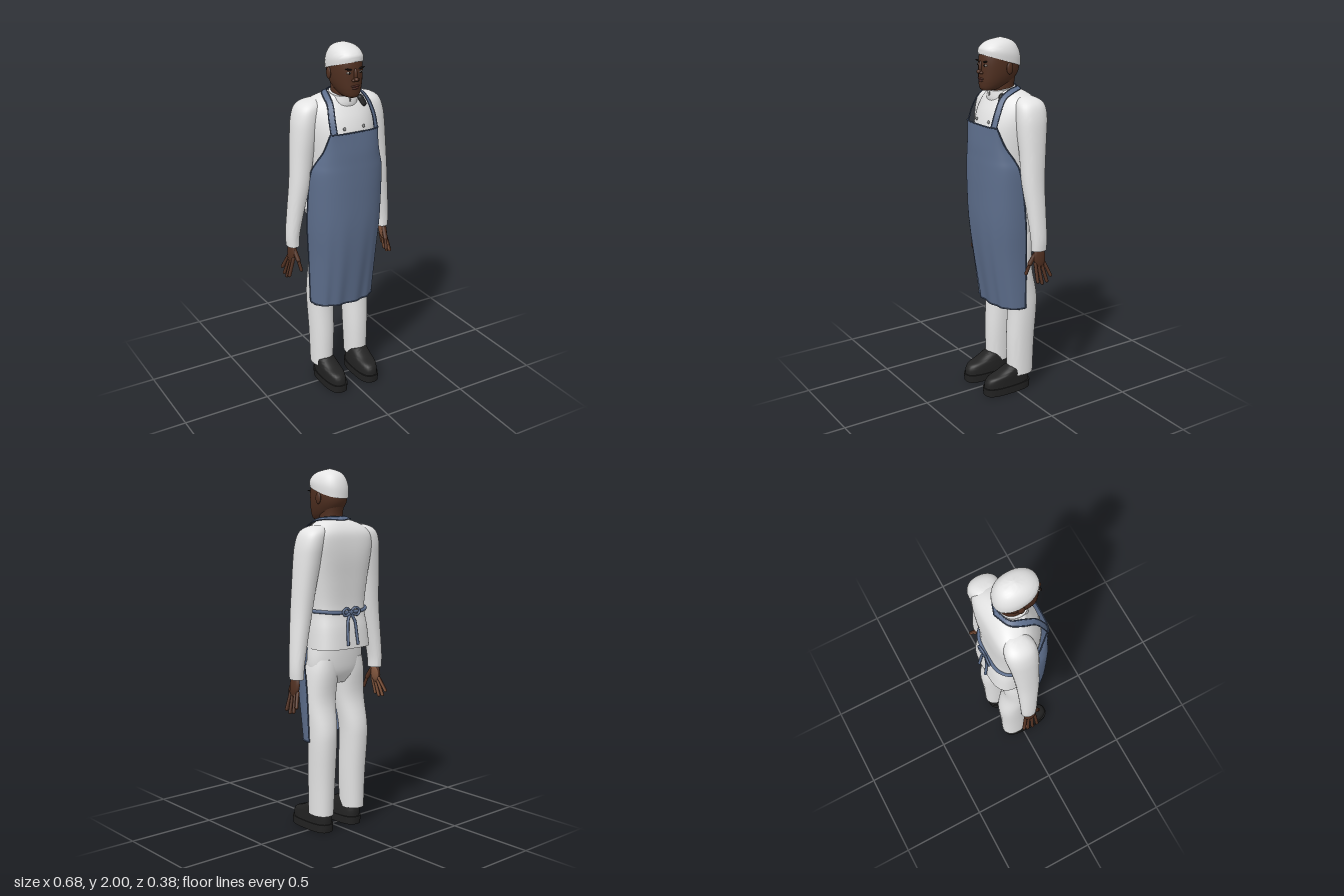
import * as THREE from 'three';
import { toCreasedNormals } from 'three/addons/utils/BufferGeometryUtils.js';

const mat = (name, color, side = THREE.FrontSide) => {
  const m = new THREE.MeshStandardMaterial({ color, side });
  m.name = name;
  return m;
};

// Catmull-Rom through rows of numbers, k steps per span
function smooth(rows, k = 4) {
  const out = [], last = rows.length - 1;
  for (let i = 0; i < last; i++) {
    const a = rows[Math.max(i - 1, 0)], b = rows[i], c = rows[i + 1], d = rows[Math.min(i + 2, last)];
    for (let s = 0; s < k; s++) {
      const t = s / k;
      out.push(b.map((p, n) => p + 0.5 * t * (c[n] - a[n] + t * (2 * a[n] - 5 * p + 4 * c[n] - d[n]
        + t * (3 * (p - c[n]) + d[n] - a[n])))));
    }
  }
  out.push(rows[last]);
  return out;
}

// Surface through rings of points; closed rings get end caps
function skin(rings, closed) {
  const n = rings[0].length, m = rings.length, pos = rings.flat(2), idx = [];
  for (let i = 0; i < m - 1; i++) {
    for (let j = 0; j < (closed ? n : n - 1); j++) {
      const a = i * n + j, b = i * n + (j + 1) % n;
      idx.push(a, a + n, b, b, a + n, b + n);
    }
  }
  if (closed) {
    [0, m - 1].forEach((r, e) => {
      const c = pos.length / 3;
      for (let k = 0; k < 3; k++) pos.push(rings[r].reduce((sum, p) => sum + p[k], 0) / n);
      for (let j = 0; j < n; j++) {
        const a = r * n + j, b = r * n + (j + 1) % n;
        idx.push(c, e ? b : a, e ? a : b);
      }
    });
  }
  const g = new THREE.BufferGeometry();
  g.setAttribute('position', new THREE.Float32BufferAttribute(pos, 3));
  g.setIndex(idx);
  g.computeVertexNormals();
  return closed ? toCreasedNormals(g, 0.9) : g;
}

// Upright loft; rows are [y, centre x, centre z, radius x, radius z]
function loft(rows, { power = 2.2, bend = p => p, side = 1, seg = 32, steps = 4 } = {}) {
  const f = v => Math.sign(v) * Math.abs(v) ** (2 / power);
  return skin(smooth(rows, steps).map(([y, cx, cz, rx, rz]) => Array.from({ length: seg }, (_, j) => {
    const t = j / seg * Math.PI * 2;
    return bend([cx * side + Math.max(rx, 0.002) * f(Math.cos(t)), y, cz + Math.max(rz, 0.002) * f(Math.sin(t))]);
  })), true);
}

const curve = pts => new THREE.CatmullRomCurve3(pts.map(p => new THREE.Vector3(...p)));
const tube = (pts, r, n = 40) => new THREE.TubeGeometry(curve(pts), n, r, 8);

export function createModel() {
  const root = new THREE.Group();
  root.name = 'cook';
  const white = mat('white cotton', 0xe4e4e4), skinTone = mat('brown skin', 0x4f2f20),
    palmTone = mat('palm skin', 0x85583f), blue = mat('apron blue', 0x5d6e8c, THREE.DoubleSide),
    hem = mat('hem blue', 0x44536e), black = mat('shoe black', 0x222222),
    dark = mat('brow and pupil', 0x17100d), eyeWhite = mat('eye white', 0xb9afa6),
    lipTone = mat('lip', 0x5a3129), grey = mat('button grey', 0x8b8b8b);
  const add = (name, geo, material, parent = root) => {
    const m = new THREE.Mesh(geo, material);
    m.name = name;
    parent.add(m);
    return m;
  };
  const blob = (name, material, p, s, rz = 0) => {
    const m = add(name, new THREE.SphereGeometry(1, 20, 14), material);
    m.position.set(...p);
    m.scale.set(...s);
    m.rotation.z = rz;
    return m;
  };
  // Capsule between two points
  const rod = (name, a, b, r, material) => {
    const A = new THREE.Vector3(...a), d = new THREE.Vector3(...b).sub(A);
    const m = add(name, new THREE.CapsuleGeometry(r, d.length(), 4, 10), material);
    m.position.copy(A).addScaledVector(d, 0.5);
    m.quaternion.setFromUnitVectors(new THREE.Vector3(0, 1, 0), d.normalize());
  };

  // Jacket, with shoulders swept back
  add('jacket', loft([[1.04, 0, -0.035, 0.18, 0.14], [1.15, 0, -0.025, 0.174, 0.138], [1.25, 0, -0.01, 0.168, 0.135],
    [1.4, 0, -0.005, 0.185, 0.145], [1.52, 0, -0.01, 0.2, 0.147], [1.6, 0, -0.02, 0.208, 0.135],
    [1.66, 0, -0.03, 0.198, 0.115], [1.7, 0, -0.03, 0.155, 0.09], [1.725, 0, -0.02, 0.1, 0.07],
    [1.735, 0, -0.01, 0.06, 0.05]], { power: 2.4, seg: 48, bend: ([x, y, z]) => [x, y, z - x * x] }), white);
  add('collar', loft([[1.67, 0, -0.005, 0.085, 0.08], [1.7, 0, 0.002, 0.077, 0.077], [1.735, 0, 0.002, 0.073, 0.072]],
    { bend: ([x, y, z]) => [x, y - z * 0.15, z] }), white);
  add('trouserSeat', loft([[0.84, 0, -0.025, 0.11, 0.06], [0.9, 0, -0.03, 0.17, 0.088], [0.98, 0, -0.032, 0.18, 0.096],
    [1.08, 0, -0.03, 0.168, 0.1]]), white);
  rod('collarFastening', [0, 1.7, 0.079], [0, 1.715, 0.077], 0.004, grey);

  for (const s of [1, -1]) {
    const sideName = s > 0 ? 'left' : 'right';
    // Sleeves and trouser legs
    add(sideName + 'Sleeve', loft([[0.89, 0.288, -0.05, 0.034, 0.043], [0.96, 0.287, -0.05, 0.037, 0.046],
      [1.1, 0.268, -0.045, 0.045, 0.053], [1.25, 0.245, -0.04, 0.054, 0.063], [1.4, 0.228, -0.045, 0.061, 0.071],
      [1.52, 0.212, -0.05, 0.068, 0.081], [1.6, 0.2, -0.055, 0.07, 0.086], [1.66, 0.185, -0.058, 0.065, 0.08],
      [1.69, 0.165, -0.058, 0.052, 0.058], [1.704, 0.145, -0.058, 0.026, 0.03]], { side: s }), white);
    add(sideName + 'TrouserLeg', loft([[0.1, 0.115, -0.048, 0.06, 0.076], [0.3, 0.113, -0.05, 0.067, 0.081],
      [0.5, 0.115, -0.06, 0.073, 0.083], [0.6, 0.113, -0.056, 0.077, 0.083], [0.75, 0.106, -0.032, 0.088, 0.076],
      [0.9, 0.094, -0.03, 0.092, 0.088], [0.98, 0.085, -0.032, 0.085, 0.085]], { side: s }), white);

    // Shoes
    add(sideName + 'Sole', loft([[0, 0.105, 0.037, 0.06, 0.145], [0.045, 0.105, 0.037, 0.062, 0.148]],
      { side: s, power: 2.8, steps: 1 }), black);
    add(sideName + 'Shoe', loft([[0.045, 0.105, 0.037, 0.058, 0.142], [0.075, 0.106, 0.035, 0.058, 0.14],
      [0.1, 0.108, 0.027, 0.057, 0.128], [0.12, 0.11, 0.0, 0.055, 0.1], [0.143, 0.112, -0.022, 0.05, 0.076],
      [0.155, 0.112, -0.01, 0.035, 0.045]], { side: s, power: 2.5 }), black);

    // Hands: palm, four splayed fingers and a thumb
    blob(sideName + 'Hand', skinTone, [s * 0.299, 0.855, -0.047], [0.016, 0.064, 0.037], s * 0.12);
    blob(sideName + 'Palm', palmTone, [s * 0.294, 0.85, -0.047], [0.014, 0.05, 0.032], s * 0.12);
    [[-0.075, -0.099, 0.74], [-0.057, -0.075, 0.712], [-0.037, -0.045, 0.705], [-0.019, -0.016, 0.718]].forEach(([z0, z1, y], i) => {
      rod(sideName + 'Finger' + (i + 1), [s * 0.303, 0.82, z0], [s * 0.331, y + 0.008, z1], 0.0092, skinTone);
      rod(sideName + 'FingerPad' + (i + 1), [s * 0.3, 0.82, z0], [s * 0.328, y + 0.008, z1], 0.0085, palmTone);
    });
    rod(sideName + 'ThumbBase', [s * 0.293, 0.88, -0.03], [s * 0.285, 0.82, 0.006], 0.013, skinTone);
    rod(sideName + 'Thumb', [s * 0.285, 0.82, 0.006], [s * 0.277, 0.765, 0.024], 0.0095, skinTone);

    // Ears, eyes, brows and nostrils
    blob(sideName + 'Ear', skinTone, [s * 0.086, 1.845, 0.005], [0.01, 0.032, 0.019]);
    blob(sideName + 'Eye', eyeWhite, [s * 0.034, 1.863, 0.123], [0.014, 0.006, 0.008]);
    blob(sideName + 'Pupil', dark, [s * 0.034, 1.863, 0.128], [0.006, 0.006, 0.004]);
    blob(sideName + 'Brow', dark, [s * 0.037, 1.882, 0.126], [0.022, 0.004, 0.007], s * 0.18);
    blob(sideName + 'Nostril', skinTone, [s * 0.013, 1.824, 0.133], [0.01, 0.008, 0.012]);
    blob(sideName + 'Button', grey, [s * 0.058, 1.567, 0.121], [0.009, 0.009, 0.006]);

    // Neck strap, between an outer and an inner edge
    const outer = curve([[0.142, 1.55, 0.125], [0.14, 1.62, 0.1], [0.127, 1.69, 0.06], [0.118, 1.722, 0], [0.09, 1.733, -0.06], [0, 1.728, -0.1]]);
    const inner = curve([[0.112, 1.55, 0.14], [0.112, 1.62, 0.118], [0.101, 1.695, 0.075], [0.09, 1.735, 0.01], [0.068, 1.745, -0.05], [0, 1.748, -0.08]]);
    const flip = p => [p.x * s, p.y, p.z];
    const edges = [outer, inner].map(c => c.getPoints(32).map(flip));
    add(sideName + 'NeckStrap', skin(edges, false), blue);
    edges.forEach(e => add(sideName + 'StrapHem', tube(e, 0.003), hem));

    // Waist tie with bow loop and tail
    add(sideName + 'WaistTie', tube([[s * 0.21, 1.25, 0.01], [s * 0.185, 1.248, -0.055], [s * 0.15, 1.245, -0.115],
      [s * 0.1, 1.24, -0.146], [0, 1.235, -0.153]], 0.01), blue);
    add(sideName + 'BowLoop', tube([[0, 1.24, -0.16], [s * 0.03, 1.262, -0.167], [s * 0.06, 1.245, -0.168],
      [s * 0.045, 1.222, -0.168], [0, 1.235, -0.163]], 0.007), blue);
    add(sideName + 'BowTail', tube([[0, 1.235, -0.16], [s * 0.025, 1.19, -0.168], [s * 0.032, 1.12, -0.176],
      [s * 0.036, 1.06, -0.184]], 0.008), blue);
  }
  blob('bowKnot', blue, [0, 1.238, -0.163], [0.016, 0.015, 0.01]);

  // Apron: rows are [y, half width, front z, side edge z]
  const apronRows = smooth([[0.52, 0.19, 0.09, -0.035], [0.8, 0.2, 0.138, -0.03], [1.0, 0.212, 0.161, -0.02],
    [1.2, 0.213, 0.166, 0], [1.32, 0.207, 0.165, 0.02], [1.38, 0.188, 0.163, 0.045], [1.45, 0.163, 0.16, 0.085],
    [1.55, 0.143, 0.15, 0.122]], 6);
  const apron = apronRows.map(([y, w, zf, ze]) => Array.from({ length: 61 }, (_, j) => {
    const t = (0.5 - j / 60) * Math.PI, fold = 0.005 * Math.sin(t * 13) * Math.max(0, 1.1 - y) / 0.58;
    return [w * Math.sign(t) * Math.abs(Math.sin(t)) ** 0.85, y, ze + (zf - ze) * Math.max(Math.cos(t), 0) ** 0.75 + fold * Math.cos(t)];
  }));
  add('apron', skin(apron, false), blue);
  [apron[0], apron[apron.length - 1], apron.map(r => r[0]), apron.map(r => r[60])]
    .forEach(e => add('apronHem', tube(e, 0.004, 80), hem));

  // Neck, head and skull cap
  add('neck', loft([[1.66, 0, -0.005, 0.062, 0.066], [1.75, 0, 0, 0.058, 0.066], [1.82, 0, -0.012, 0.06, 0.07]]), skinTone);
  add('head', loft([[1.728, 0, 0.085, 0.026, 0.035], [1.738, 0, 0.07, 0.045, 0.06], [1.77, 0, 0.043, 0.065, 0.092],
    [1.82, 0, 0.022, 0.08, 0.112], [1.88, 0, 0.018, 0.084, 0.114], [1.93, 0, 0.016, 0.078, 0.105],
    [1.96, 0, 0.012, 0.055, 0.07]]), skinTone);
  blob('noseBridge', skinTone, [0, 1.85, 0.13], [0.011, 0.035, 0.014]);
  blob('noseTip', skinTone, [0, 1.829, 0.14], [0.013, 0.011, 0.016]);
  blob('upperLip', lipTone, [0, 1.792, 0.13], [0.026, 0.006, 0.012]);
  blob('lowerLip', lipTone, [0, 1.781, 0.128], [0.022, 0.007, 0.012]);
  blob('chin', skinTone, [0, 1.748, 0.113], [0.026, 0.018, 0.018]);
  add('skullCap', loft([[1.875, 0, 0.015, 0.089, 0.118], [1.92, 0, 0.015, 0.089, 0.116], [1.96, 0, 0.012, 0.074, 0.095],
    [1.985, 0, 0.01, 0.048, 0.06], [2.0, 0, 0.01, 0.004, 0.004]],
  { bend: ([x, y, z]) => [x, y + z * 0.32 * (2 - y) / 0.125, z] }), white);

  // Small clip-on device below the collar
  const clip = add('collarClip', new THREE.CapsuleGeometry(0.018, 0.032, 4, 12), black);
  clip.position.set(0.085, 1.685, 0.055);
  clip.rotation.set(-0.4, 0, 0.35);
  return root;
}
